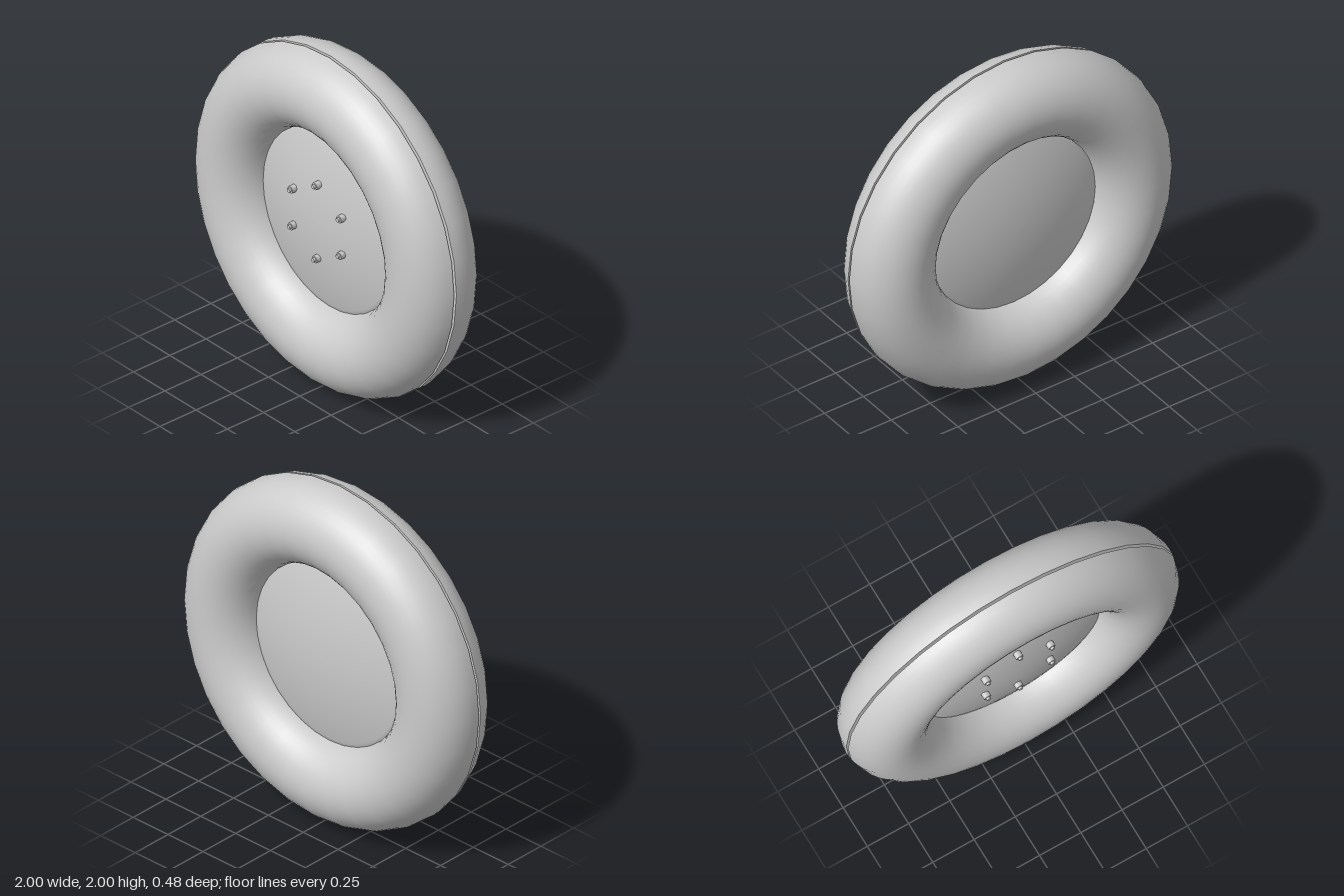
import * as THREE from 'three';

const RING = 0.76, TUBE = 0.24;            // tyre centre-line and tube radius
const GROOVE = { back: 0.03, front: 0.044, floor: 0.94 };
const DISC_R = 0.56;
const domeZ = (r) => 0.124 - 0.27 * r * r; // shallow dome of the hub disc

export function createModel() {
  const model = new THREE.Group();
  const material = new THREE.MeshStandardMaterial({ color: 0xcccccc });

  const add = (parent, name, geometry) => {
    const mesh = new THREE.Mesh(geometry, material);
    mesh.name = name;
    parent.add(mesh);
    return mesh;
  };
  // Revolve [radius, z] points about the wheel's axle
  const revolve = (points, sides) =>
    new THREE.LatheGeometry(points.map(([r, z]) => new THREE.Vector2(r, z)), sides).rotateX(Math.PI / 2);

  const wheel = new THREE.Group();
  wheel.name = 'wheel';
  wheel.position.y = 1;
  model.add(wheel);

  // Tyre: round section, broken by the narrow tread groove
  const start = Math.asin(GROOVE.front / TUBE);
  const end = Math.asin(GROOVE.back / TUBE) + Math.PI * 2;
  const section = [];
  for (let i = 0; i <= 40; i++) {
    const a = start + ((end - start) * i) / 40;
    section.push([RING + TUBE * Math.cos(a), TUBE * Math.sin(a)]);
  }
  add(wheel, 'tyre', revolve(section, 32));

  // Groove walls and floor, revolved separately to keep sharp edges
  const groove = new THREE.Group();
  groove.name = 'treadGroove';
  wheel.add(groove);
  const corners = [
    section[40], [GROOVE.floor, GROOVE.back], [GROOVE.floor, GROOVE.front], section[0],
  ];
  ['grooveBackWall', 'grooveFloor', 'grooveFrontWall'].forEach((name, i) =>
    add(groove, name, revolve([corners[i], corners[i + 1]], 32)));

  // Hub disc: domed front and back, its rim buried in the tyre
  const dome = [];
  for (let i = 0; i <= 10; i++) {
    const r = (DISC_R * i) / 10;
    dome.push([r, domeZ(r)]);
  }
  const backDome = dome.map(([r, z]) => [r, -z]);
  add(wheel, 'hubDisc', revolve([...backDome, ...dome.reverse()], 64));

  // Six lug nuts with stud ends on the front
  const boltRadius = 0.225;
  const base = domeZ(boltRadius);
  const nutGeometry = new THREE.CylinderGeometry(0.022, 0.022, 0.04, 6)
    .rotateY(Math.PI / 6).rotateX(Math.PI / 2);
  const studGeometry = new THREE.CylinderGeometry(0.012, 0.012, 0.06, 12).rotateX(Math.PI / 2);
  for (let i = 0; i < 6; i++) {
    const a = Math.PI / 2 + (i * Math.PI) / 3;
    const lug = new THREE.Group();
    lug.name = 'lugNut';
    lug.position.set(-0.01 + boltRadius * Math.cos(a), 0.015 + boltRadius * Math.sin(a), base);
    add(lug, 'nut', nutGeometry).position.z = 0.01;
    add(lug, 'stud', studGeometry).position.z = 0.012;
    wheel.add(lug);
  }

  return model;
}
